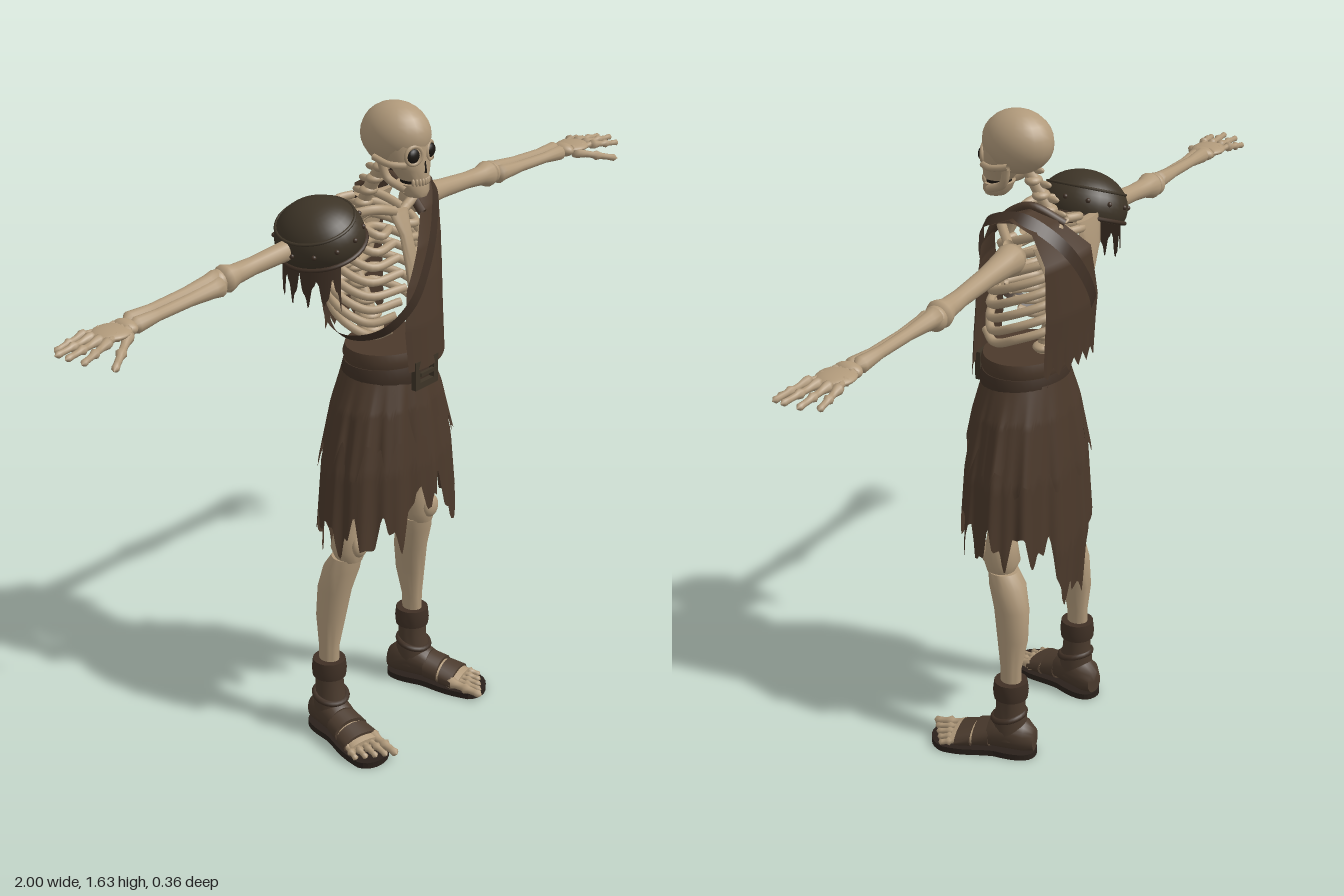
import * as THREE from 'three';
import { toCreasedNormals } from 'three/addons/utils/BufferGeometryUtils.js';
import { ParametricGeometry } from 'three/addons/geometries/ParametricGeometry.js';

const V = (x, y, z) => new THREE.Vector3(x, y, z);

function material(name, color, side = THREE.FrontSide) {
  const m = new THREE.MeshStandardMaterial({ color, side });
  m.name = name;
  return m;
}

// Interpolates rows whose first entry is the ascending key.
function at(rows, key) {
  let i = 0;
  while (i < rows.length - 2 && key > rows[i + 1][0]) i++;
  const a = rows[i], b = rows[i + 1];
  const t = THREE.MathUtils.clamp((key - a[0]) / (b[0] - a[0]), 0, 1);
  return a.map((n, k) => n + (b[k] - n) * t);
}

// Closed skin over elliptical rings [x, y, z, rx, rz], listed upwards.
function loft(rings, n = 20) {
  const first = rings[0], last = rings[rings.length - 1];
  const all = [[...first.slice(0, 3), 0, 0], ...rings, [...last.slice(0, 3), 0, 0]];
  const pos = [], idx = [];
  all.forEach(([x, y, z, rx, rz], j) => {
    for (let i = 0; i < n; i++) {
      const a = (i / n) * Math.PI * 2;
      pos.push(x + Math.sin(a) * rx, y, z + Math.cos(a) * rz);
      if (j === all.length - 1) continue;
      const p = j * n + i, q = j * n + (i + 1) % n;
      idx.push(p, q, p + n, q + n, p + n, q);
    }
  });
  const g = new THREE.BufferGeometry();
  g.setAttribute('position', new THREE.Float32BufferAttribute(pos, 3));
  g.setIndex(idx);
  return toCreasedNormals(g, 0.9);
}

// Turned bone between two points; profile entries are [radius, fraction].
function turned(a, b, profile, n = 12) {
  const d = b.clone().sub(a), len = d.length();
  const pts = profile.map(([r, t]) => new THREE.Vector2(r, t * len));
  const g = new THREE.LatheGeometry(pts, n);
  g.applyQuaternion(new THREE.Quaternion().setFromUnitVectors(V(0, 1, 0), d.normalize()));
  return g.translate(a.x, a.y, a.z);
}
const knuckled = r => [[0, 0], [r, 0.04], [r * 1.1, 0.12], [r * 0.7, 0.3], [r * 0.65, 0.45],
  [r, 0.53], [r * 0.65, 0.63], [r * 0.6, 0.8], [r * 0.7, 0.92], [0, 1]];
const ball = (x, y, z, rx, ry, rz) => new THREE.SphereGeometry(1, 20, 14).scale(rx, ry, rz).translate(x, y, z);
const tube = (pts, r, n = 24) => new THREE.TubeGeometry(new THREE.CatmullRomCurve3(pts), n, r, 8);
const tri = t => Math.abs((((t % 1) + 1) % 1) * 2 - 1);

export function createModel() {
  const root = new THREE.Group();
  root.name = 'skeletonWarrior';
  const bone = material('bone', 0xb19a7b, THREE.DoubleSide);
  const cloth = material('brownCloth', 0x4b392b, THREE.DoubleSide);
  const leather = material('darkLeather', 0x3f3025, THREE.DoubleSide);
  const armour = material('shoulderArmour', 0x3d3427, THREE.DoubleSide);
  const sandalMat = material('sandalLeather', 0x4a3a2d, THREE.DoubleSide);
  const dark = material('socketDark', 0x1c1712);
  const soleMat = material('soleDark', 0x2a211b);
  const add = (name, geo, mat, parent = root) => {
    const m = new THREE.Mesh(geo, mat);
    m.name = name;
    parent.add(m);
    return m;
  };

  // Skull
  const skull = new THREE.Group();
  skull.name = 'skull';
  root.add(skull);
  add('cranium', ball(0, 1.555, 0.032, 0.073, 0.076, 0.088), bone, skull);
  add('face', loft([[0, 1.46, 0.085, 0.034, 0.036], [0, 1.485, 0.075, 0.046, 0.046],
    [0, 1.505, 0.068, 0.058, 0.05], [0, 1.54, 0.06, 0.062, 0.058], [0, 1.565, 0.055, 0.06, 0.058]]), bone, skull);
  add('jaw', loft([[0, 1.42, 0.092, 0.026, 0.026], [0, 1.432, 0.088, 0.036, 0.034],
    [0, 1.452, 0.082, 0.042, 0.036]]), bone, skull);
  add('toothGap', loft([[0, 1.451, 0.085, 0.032, 0.031], [0, 1.461, 0.085, 0.032, 0.031]]), dark, skull);
  for (let i = -4; i <= 4; i++) {
    const a = i * 0.24;
    add('tooth', ball(Math.sin(a) * 0.034, 1.457, 0.086 + Math.cos(a) * 0.034, 0.0045, 0.009, 0.004), bone, skull);
  }
  add('noseHole', new THREE.ConeGeometry(0.012, 0.03, 3).scale(1, 1, 0.4).translate(0, 1.493, 0.119), dark, skull);
  for (const s of [-1, 1]) {
    add('eyeSocket', ball(s * 0.029, 1.522, 0.106, 0.02, 0.018, 0.012).rotateY(0), dark, skull);
    add('socketRim', new THREE.TorusGeometry(0.021, 0.005, 8, 20).rotateY(s * 0.35).translate(s * 0.029, 1.522, 0.108), bone, skull);
    add('cheekArch', tube([V(s * 0.045, 1.5, 0.1), V(s * 0.067, 1.503, 0.065), V(s * 0.066, 1.512, 0.02)], 0.008), bone, skull);
    add('jawBranch', tube([V(s * 0.036, 1.44, 0.09), V(s * 0.046, 1.462, 0.045), V(s * 0.055, 1.51, 0.03)], 0.01), bone, skull);
  }

  // Spine and breastbone
  const spine = new THREE.CatmullRomCurve3([V(0, 0.96, -0.03), V(0, 1.09, -0.045), V(0, 1.24, -0.1),
    V(0, 1.37, -0.065), V(0, 1.5, 0.01)]);
  add('spineCore', new THREE.TubeGeometry(spine, 30, 0.016, 10), bone);
  for (let i = 0; i < 17; i++) {
    const p = spine.getPoint(i / 16), r = 0.033 - i * 0.0006;
    add('vertebra', ball(p.x, p.y, p.z, r, 0.013, r * 0.85), bone);
    add('vertebraSpur', ball(p.x, p.y - 0.006, p.z - 0.03, 0.007, 0.009, 0.018), bone);
  }
  add('breastbone', loft([[0, 1.19, 0.082, 0.012, 0.008], [0, 1.25, 0.08, 0.022, 0.01],
    [0, 1.32, 0.062, 0.02, 0.01], [0, 1.37, 0.04, 0.032, 0.012]]), bone);
  add('pelvis', loft([[0, 0.87, 0, 0.05, 0.05], [0, 0.92, 0, 0.1, 0.07], [0, 0.98, 0, 0.105, 0.075]]), bone);

  for (const s of [-1, 1]) {
    // Rib cage, collar bone and shoulder blade
    const widths = [0.08, 0.105, 0.12, 0.131, 0.135, 0.134, 0.13, 0.12];
    widths.forEach((w, i) => {
      const y = 1.385 - 0.034 * i, low = Math.max(0, i - 4);
      add('rib', tube([V(s * 0.01, y, -0.09), V(s * w * 0.65, y - 0.004, -0.102), V(s * w, y - 0.03, -0.035),
        V(s * w * 0.83, y - 0.06, 0.04), V(s * (0.02 + low * 0.018), y - 0.055 + low * 0.004, 0.03 + Math.min(i, 4) * 0.012)],
        0.0105, 28), bone);
    });
    add('collarBone', tube([V(s * 0.02, 1.375, 0.045), V(s * 0.08, 1.39, 0.03), V(s * 0.165, 1.37, -0.04)], 0.012), bone);
    add('shoulderBlade', loft([[s * 0.085, 1.22, -0.115, 0.012, 0.006], [s * 0.09, 1.3, -0.115, 0.04, 0.008],
      [s * 0.1, 1.365, -0.1, 0.055, 0.01]]), bone);

    // Arm
    const arm = new THREE.Group();
    arm.name = s > 0 ? 'leftArm' : 'rightArm';
    root.add(arm);
    add('upperArm', turned(V(s * 0.145, 1.34, -0.05), V(s * 0.505, 1.317, -0.062), [[0, 0], [0.03, 0.02], [0.037, 0.08],
      [0.031, 0.18], [0.024, 0.4], [0.021, 0.7], [0.024, 0.86], [0.033, 0.94], [0.027, 0.99], [0, 1]], 16), bone, arm);
    add('elbow', ball(s * 0.505, 1.316, -0.064, 0.024, 0.029, 0.028), bone, arm);
    const fore = [[0, 0], [0.024, 0.02], [0.02, 0.1], [0.0145, 0.35], [0.0135, 0.7], [0.019, 0.93], [0, 1]];
    add('forearmOuter', turned(V(s * 0.505, 1.322, -0.066), V(s * 0.8, 1.312, -0.06), fore), bone, arm);
    add('forearmInner', turned(V(s * 0.51, 1.312, -0.05), V(s * 0.8, 1.306, -0.04), fore), bone, arm);
    add('wrist', ball(s * 0.805, 1.308, -0.048, 0.022, 0.018, 0.033), bone, arm);
    add('palm', ball(s * 0.846, 1.309, -0.047, 0.048, 0.013, 0.043), bone, arm);
    [[-0.083, -0.09, 0.968, 1.293], [-0.06, -0.058, 0.995, 1.3], [-0.036, -0.022, 1, 1.303], [-0.013, 0.01, 0.985, 1.296]]
      .forEach(([z0, z1, x, y]) => {
        add('handBone', turned(V(s * 0.81, 1.308, -0.048 + (z0 + 0.048) * 0.5), V(s * 0.895, 1.309, z0), knuckled(0.012), 8), bone, arm);
        add('finger', turned(V(s * 0.882, 1.31, z0), V(s * x, y, z1), knuckled(0.0115), 8), bone, arm);
      });
    add('thumb', turned(V(s * 0.815, 1.303, -0.025), V(s * 0.93, 1.272, 0.045), knuckled(0.013), 8), bone, arm);

    // Leg
    const leg = new THREE.Group();
    leg.name = s > 0 ? 'leftLeg' : 'rightLeg';
    root.add(leg);
    add('shin', loft([[s * 0.17, 0.15, -0.045, 0.022, 0.026], [s * 0.168, 0.25, -0.045, 0.023, 0.028],
      [s * 0.16, 0.33, -0.045, 0.031, 0.041], [s * 0.152, 0.41, -0.038, 0.038, 0.046],
      [s * 0.144, 0.47, -0.022, 0.045, 0.046], [s * 0.14, 0.505, -0.008, 0.038, 0.038]]), bone, leg);
    add('thigh', loft([[s * 0.14, 0.5, 0, 0.032, 0.034], [s * 0.138, 0.53, -0.003, 0.045, 0.045],
      [s * 0.135, 0.58, 0, 0.04, 0.038], [s * 0.13, 0.64, 0.004, 0.029, 0.029],
      [s * 0.122, 0.75, 0.01, 0.026, 0.026], [s * 0.1, 0.93, 0, 0.036, 0.034]]), bone, leg);
    add('kneeCap', ball(s * 0.14, 0.545, 0.034, 0.026, 0.031, 0.017), bone, leg);

    // Sandalled foot, turned outwards
    const foot = new THREE.Group();
    foot.name = s > 0 ? 'leftFoot' : 'rightFoot';
    foot.position.set(s * 0.17, 0, -0.04);
    foot.rotation.y = s * 0.24;
    root.add(foot);
    const sole = new THREE.Shape();
    sole.moveTo(0, -0.072);
    sole.bezierCurveTo(0.045, -0.072, 0.045, -0.02, 0.04, 0.03);
    sole.bezierCurveTo(0.045, 0.08, 0.062, 0.1, 0.058, 0.16);
    sole.bezierCurveTo(0.045, 0.21, -0.03, 0.225, -0.05, 0.18);
    sole.bezierCurveTo(-0.06, 0.1, -0.04, 0.07, -0.04, 0.03);
    sole.bezierCurveTo(-0.045, -0.02, -0.045, -0.072, 0, -0.072);
    add('sole', new THREE.ExtrudeGeometry(sole, { depth: 0.016, bevelEnabled: false, curveSegments: 10 })
      .rotateX(Math.PI / 2).translate(0, 0.016, 0), soleMat, foot);
    const along = rings => loft(rings.map(([z, y, rx, ry]) => [0, z, -y, rx, ry])).rotateX(Math.PI / 2);
    add('footBones', along([[-0.062, 0.04, 0.025, 0.024], [0, 0.05, 0.032, 0.036], [0.08, 0.04, 0.042, 0.026],
      [0.145, 0.028, 0.05, 0.014]]), bone, foot);
    add('heelWrap', along([[-0.068, 0.045, 0.024, 0.03], [-0.045, 0.055, 0.04, 0.042], [0, 0.062, 0.043, 0.05],
      [0.035, 0.056, 0.043, 0.042], [0.05, 0.052, 0.042, 0.036]]), sandalMat, foot);
    add('instepStrap', along([[0.045, 0.049, 0.045, 0.037], [0.085, 0.042, 0.05, 0.031]]), sandalMat, foot);
    add('toeStrap', along([[0.092, 0.037, 0.05, 0.03], [0.13, 0.031, 0.056, 0.023]]), sandalMat, foot);
    add('ankleWrap', loft([[0, 0.05, 0, 0.043, 0.048], [0, 0.1, -0.002, 0.041, 0.044], [0, 0.13, -0.004, 0.035, 0.037],
      [0, 0.19, -0.005, 0.035, 0.037]]), sandalMat, foot);
    add('ankleCuff', loft([[0, 0.165, -0.005, 0.042, 0.043], [0, 0.185, -0.005, 0.044, 0.045],
      [0, 0.212, -0.005, 0.041, 0.042]]), leather, foot);
    add('ankleBand', new THREE.TorusGeometry(0.041, 0.008, 8, 24).rotateX(Math.PI / 2 + 0.25).translate(0, 0.11, 0), leather, foot);
    for (let i = 0; i < 5; i++) {
      const x = s * (-0.042 + i * 0.0215), r = i === 0 ? 0.015 : 0.0115;
      add('toe', turned(V(x * 0.9, 0.033, 0.115), V(x * 1.1, 0.02, 0.218 - i * 0.011), knuckled(r), 8), bone, foot);
    }
  }

  // Torn skirt in two layers
  const flare = [[0.3, 0.195, 0.125], [0.55, 0.212, 0.138], [0.75, 0.195, 0.13], [0.9, 0.156, 0.113], [0.985, 0.118, 0.098]];
  const skirt = (bottom, gap, folds) => new ParametricGeometry((u, v, target) => {
    const a = (u - 0.5) * Math.PI * 2;
    const y = 0.985 + (bottom(a) - 0.985) * v;
    const [, rx, rz] = at(flare, y);
    const k = 1 + gap + 0.035 * v * Math.cos(folds * a) + 0.015 * v * Math.sin(23 * a);
    target.set(Math.sin(a) * rx * k, y, Math.cos(a) * rz * k + 0.008);
  }, 240, 14);
  const turn = Math.PI * 2, bump = (a, w) => Math.exp(-((a / w) ** 2));
  add('skirt', skirt(a => 0.66 + 0.09 * bump(a, 0.35) - 0.2 * bump(Math.PI - Math.abs(a), 0.4)
    - 0.1 * tri(13 * a / turn) - 0.045 * tri(31 * a / turn + 0.3), 0, 11), cloth);
  add('skirtOverlay', skirt(a => 0.84 + 0.08 * bump(a, 0.8) - 0.09 * tri(11 * a / turn + 0.2)
    - 0.05 * tri(27 * a / turn), 0.035, 11), cloth);

  // Belt and buckle
  const band = (y0, y1, r) => loft([[0, y0, 0.012, r, r * 0.82], [0, (y0 + y1) / 2, 0.012, r + 0.006, r * 0.82 + 0.006],
    [0, y1, 0.012, r, r * 0.82]], 40);
  add('belt', band(0.955, 1.005, 0.122), leather);
  add('sash', band(1.0, 1.042, 0.118), cloth);
  const frame = new THREE.Shape([[-0.043, -0.036], [0.043, -0.036], [0.043, 0.036], [-0.043, 0.036]].map(p => new THREE.Vector2(...p)));
  frame.holes.push(new THREE.Path([[-0.026, -0.02], [-0.026, 0.02], [0.026, 0.02], [0.026, -0.02]].map(p => new THREE.Vector2(...p))));
  add('buckle', new THREE.ExtrudeGeometry(frame, { depth: 0.014, bevelEnabled: false }).translate(0, 0.985, 0.115), armour);
  add('bucklePin', new THREE.BoxGeometry(0.06, 0.009, 0.009).translate(0.005, 0.985, 0.127), armour);

  // Tunic running from the front, over the left shoulder, down the back: y, left x, right x, z, curve
  const rows = [[1.0, -0.06, 0.125, 0.132, 3], [1.1, -0.065, 0.13, 0.126, 3], [1.2, -0.05, 0.145, 0.112, 2.5],
    [1.28, 0, 0.155, 0.095, 2], [1.35, 0.055, 0.165, 0.065, 1.2], [1.405, 0.06, 0.165, 0.01, 0],
    [1.425, 0.06, 0.16, -0.04, 0], [1.4, 0.04, 0.16, -0.1, 0], [1.33, -0.02, 0.16, -0.152, -0.7],
    [1.2, -0.05, 0.155, -0.158, -1], [1.07, -0.05, 0.15, -0.148, -1]].map((r, i) => [i, ...r]);
  add('tunic', new ParametricGeometry((u, v, target) => {
    const [, y, x0, x1, z, k] = at(rows, v * (rows.length - 1));
    const x = x0 + (x1 - x0) * u;
    const rag = v > 0.95 ? 0.03 * tri(u * 5.3) * (v - 0.95) * 20 : 0;
    target.set(x, y - rag, z - k * x * x);
  }, 32, 60), cloth);

  // Diagonal chest strap
  const strap = new THREE.CatmullRomCurve3([V(0.14, 1.405, 0.03), V(0.09, 1.335, 0.078), V(0.02, 1.25, 0.112),
    V(-0.05, 1.17, 0.122), V(-0.11, 1.11, 0.085), V(-0.138, 1.085, 0), V(-0.1, 1.1, -0.095),
    V(0, 1.22, -0.168), V(0.1, 1.36, -0.15), V(0.14, 1.425, -0.06)], true);
  add('chestStrap', new ParametricGeometry((u, v, target) => {
    strap.getPoint(v, target);
    target.x += (u - 0.5) * 0.024;
    target.y -= (u - 0.5) * 0.021;
  }, 2, 90), leather);
  add('tunicCollar', tube([V(0.06, 1.355, 0.065), V(0.062, 1.408, 0.01), V(0.06, 1.428, -0.04), V(0.03, 1.39, -0.11)], 0.011), cloth);

  // Right shoulder guard with studs and torn lining
  const guard = new THREE.Group();
  guard.name = 'shoulderGuard';
  guard.position.set(-0.2, 1.35, -0.03);
  guard.rotation.z = 0.38;
  root.add(guard);
  const fit = g => g.scale(0.1, 0.085, 0.11);
  add('guardDome', fit(new THREE.SphereGeometry(1, 32, 14, 0, turn, 0, 1.95)), armour, guard);
  add('guardRim', fit(new THREE.TorusGeometry(0.97, 0.06, 8, 36).rotateX(Math.PI / 2).translate(0, -0.3, 0)), leather, guard);
  add('guardRidge', fit(new THREE.TorusGeometry(0.88, 0.04, 8, 36).rotateX(Math.PI / 2).translate(0, 0.48, 0)), armour, guard);
  for (let i = 0; i < 12; i++) {
    const a = (i / 12) * turn;
    add('stud', ball(Math.sin(a) * 0.099, 0.012, Math.cos(a) * 0.109, 0.006, 0.006, 0.006), leather, guard);
  }
  add('tornLining', new ParametricGeometry((u, v, target) => {
    const a = -0.4 - u * 2.3, drop = 0.05 + 0.07 * tri(u * 5) + 0.02 * tri(u * 13);
    target.set(-0.2 + Math.sin(a) * 0.075, 1.33 - v * drop, -0.03 + Math.cos(a) * 0.095);
  }, 60, 4), leather);
  return root;
}
